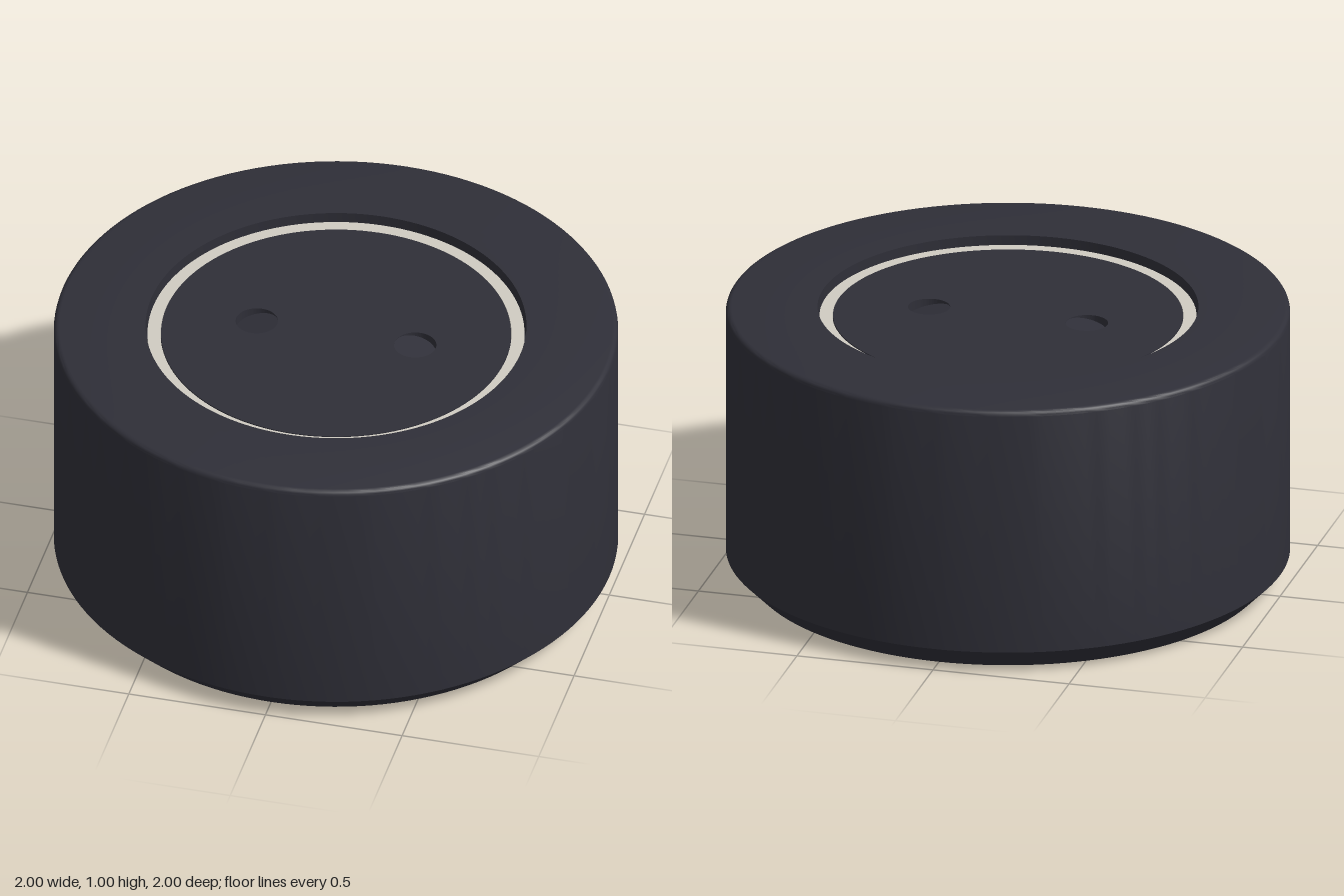
import * as THREE from 'three';
import { toCreasedNormals } from 'three/addons/utils/BufferGeometryUtils.js';

const SEGMENTS = 128;

function material(name, color) {
  const m = new THREE.MeshStandardMaterial({ color });
  m.name = name;
  return m;
}

// Turned part with crisp edges; profile points are [radius, height]
function turned(profile) {
  const points = profile.map(([r, y]) => new THREE.Vector2(r, y));
  return toCreasedNormals(new THREE.LatheGeometry(points, SEGMENTS), 0.5);
}

export function createModel() {
  const model = new THREE.Group();
  model.name = 'roundPuck';
  const charcoal = material('charcoal', 0x2f2f38);
  const ivory = material('ivory', 0xd0ccc2);
  const black = material('black', 0x202022);

  function add(name, geometry, mat) {
    const mesh = new THREE.Mesh(geometry, mat);
    mesh.name = name;
    model.add(mesh);
    return mesh;
  }

  // Housing: chamfered foot, straight wall, softened top edge, recessed well
  add('housing', turned([
    [0.92, 0], [1, 0.08], [1, 0.98], [0.998, 0.988], [0.994, 0.994], [0.988, 0.998], [0.98, 1],
    [0.675, 1], [0.675, 0.91], [0.6, 0.91],
  ]), charcoal);

  // Flat underside
  add('base', new THREE.CircleGeometry(0.92, SEGMENTS).rotateX(Math.PI / 2), black);

  // Pale ring set in the well
  add('lightRing', turned([
    [0.668, 0.91], [0.668, 0.966], [0.622, 0.966], [0.622, 0.91],
  ]), ivory);

  // Centre plate with two round openings
  const WELL_X = 0.29, WELL_R = 0.075, PLATE_Y = 0.968, DEPTH = 0.05;
  const plate = new THREE.Shape().absarc(0, 0, 0.62, 0, Math.PI * 2);
  for (const side of [-1, 1]) {
    plate.holes.push(new THREE.Path().absarc(side * WELL_X, 0, WELL_R, 0, Math.PI * 2, true));
  }
  const plateGeometry = new THREE.ExtrudeGeometry(plate, {
    depth: DEPTH, bevelEnabled: false, curveSegments: 64,
  });
  plateGeometry.rotateX(-Math.PI / 2).translate(0, PLATE_Y - DEPTH, 0);
  add('centrePlate', toCreasedNormals(plateGeometry, 0.5), charcoal);

  // Button floors, each sloping down towards the outside
  for (const side of [-1, 1]) {
    const floor = new THREE.CircleGeometry(WELL_R, 64).rotateX(-Math.PI / 2);
    const pos = floor.attributes.position;
    for (let i = 0; i < pos.count; i++) {
      const t = (side * pos.getX(i) / WELL_R + 1) / 2;
      pos.setY(i, -0.036 * t);
    }
    floor.computeVertexNormals();
    const button = add(side > 0 ? 'buttonLeft' : 'buttonRight', floor, charcoal);
    button.position.set(side * WELL_X, PLATE_Y - 0.001, 0);
  }

  return model;
}
